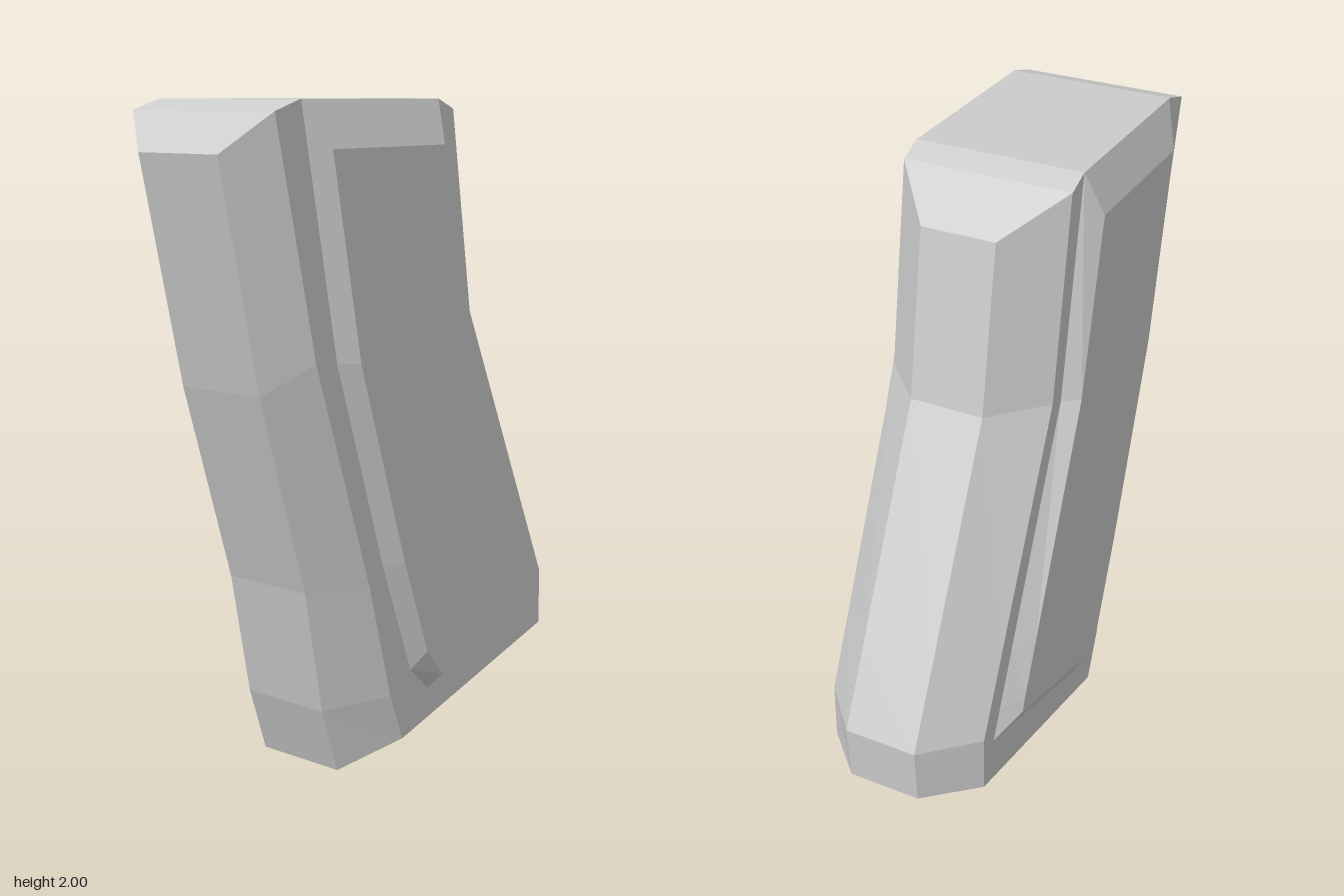
import * as THREE from 'three';

const material = new THREE.MeshStandardMaterial({ color: 0xcccccc, flatShading: true });

// Skin a stack of rings (top to bottom, counter-clockwise from above) and cap both ends
function loft(name, rings, closed) {
  const pos = [];
  const area = new THREE.Triangle();
  const tri = (a, b, c) => {
    area.a.set(...a); area.b.set(...b); area.c.set(...c);
    if (area.getArea() > 1e-7) pos.push(...a, ...b, ...c);
  };
  const n = rings[0].length;
  for (let i = 0; i < rings.length - 1; i++) {
    const up = rings[i], low = rings[i + 1];
    for (let j = 0; j < (closed ? n : n - 1); j++) {
      const k = (j + 1) % n;
      tri(up[j], low[j], low[k]);
      tri(up[j], low[k], up[k]);
    }
  }
  const top = rings[0], bottom = rings[rings.length - 1];
  for (let j = 1; j < n - 1; j++) {
    tri(top[0], top[j], top[j + 1]);
    tri(bottom[0], bottom[j + 1], bottom[j]);
  }
  const geometry = new THREE.BufferGeometry();
  geometry.setAttribute('position', new THREE.Float32BufferAttribute(pos, 3));
  geometry.computeVertexNormals();
  const mesh = new THREE.Mesh(geometry, material);
  mesh.name = name;
  return mesh;
}

const mirrored = (points) => points.map(([x, y, z]) => [-x, y, z]).reverse();

export function createModel() {
  const group = new THREE.Group();
  group.name = 'grip';

  // Body levels as [z, y]: front face, front chamfer, rear chamfer, rear face
  const bodyLevels = [
    [[0.6, 2], [0.6, 2], [-0.02, 2], [-0.02, 2]],
    [[0.7, 1.97], [0.7, 1.97], [-0.095, 1.97], [-0.095, 1.97]],
    [[0.795, 1.86], [0.7, 1.97], [-0.095, 1.97], [-0.265, 1.865]],
    [[0.645, 1.2], [0.54, 1.29], [-0.195, 1.36], [-0.35, 1.36]],
    [[0.46, 0.595], [0.305, 0.605], [-0.505, 0.7], [-0.672, 0.7]],
    [[0.385, 0.21], [0.2, 0.23], [-0.632, 0.43], [-0.795, 0.45]],
    [[0.315, 0], [0.14, 0.075], [-0.635, 0.245], [-0.785, 0.265]],
  ];
  const bodyX = [0.145, 0.26, 0.26, 0.115];
  const bodyRings = bodyLevels.map((level) => {
    const half = level.map(([z, y], i) => [bodyX[i], y, z]);
    return [...half, ...mirrored(half)];
  });
  group.add(loft('gripBody', bodyRings, true));

  // Raised side panel levels as [z, y]: front foot, front rim, rear rim, rear foot
  const panelLevels = [
    [[0.595, 2], [0.525, 1.87], [0.015, 1.87], [-0.02, 2]],
    [[0.45, 1.28], [0.405, 1.28], [-0.105, 1.34], [-0.14, 1.34]],
    [[0.24, 0.65], [0.195, 0.65], [-0.39, 0.65], [-0.449, 0.65]],
    [[0.1, 0.285], [0.08, 0.35], [-0.461, 0.48], [-0.53, 0.47]],
    [[0.01, 0.2], [0, 0.255], [-0.49, 0.41], [-0.57, 0.38]],
  ];
  const panelX = [0.26, 0.31, 0.31, 0.26];
  const panelRings = panelLevels.map((level) => level.map(([z, y], i) => [panelX[i], y, z]));
  group.add(loft('leftPanel', panelRings, false));

  // The right panel has a slightly wider bevel along its lower edge
  const rightRings = panelRings.map(mirrored);
  const last = rightRings[rightRings.length - 1];
  last[1] = [-0.31, 0.44, -0.475];
  last[2] = [-0.31, 0.29, 0.015];
  group.add(loft('rightPanel', rightRings, false));

  return group;
}
